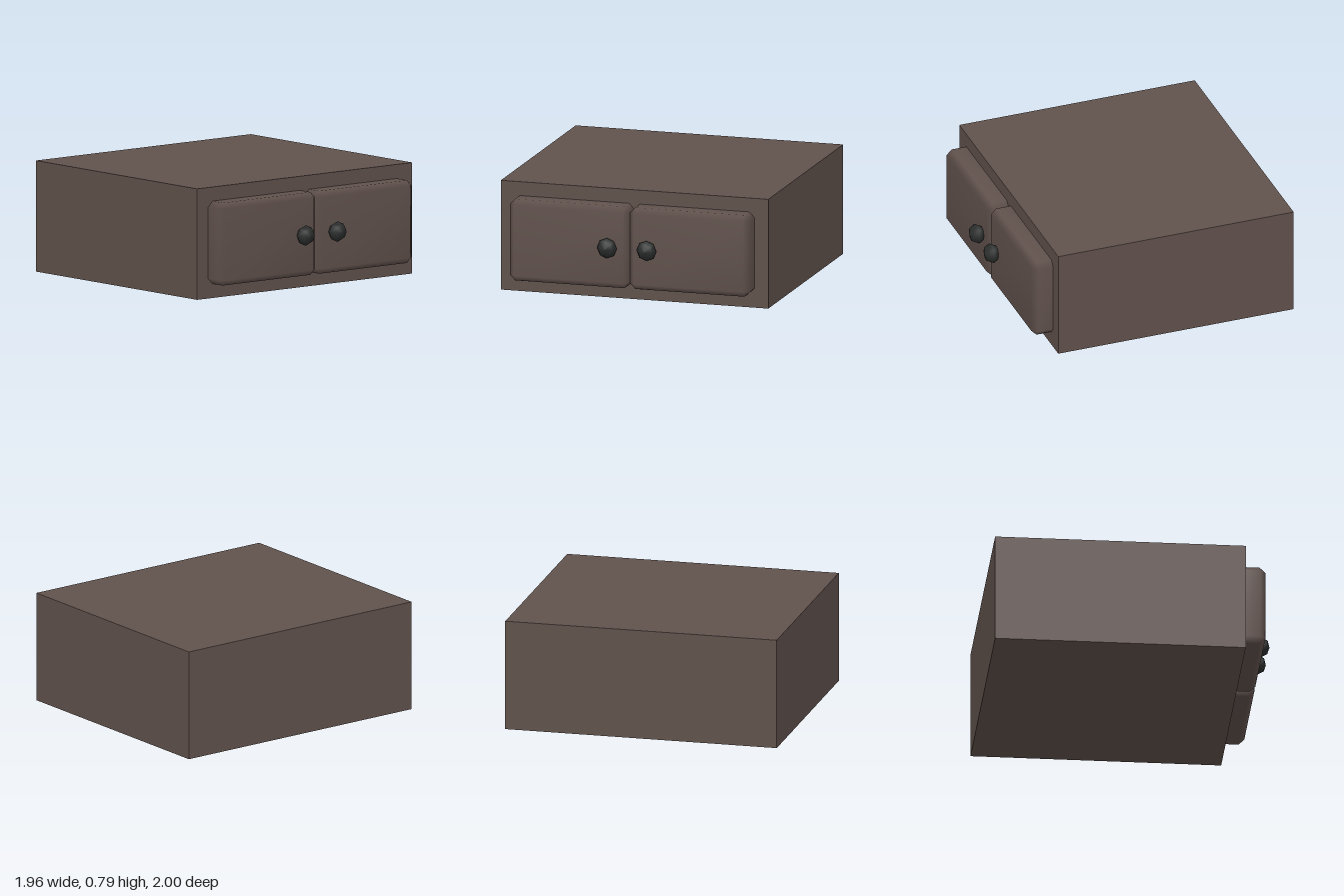
import * as THREE from 'three';
import { mergeVertices } from 'three/addons/utils/BufferGeometryUtils.js';
import { ConvexGeometry } from 'three/addons/geometries/ConvexGeometry.js';

// Box with every edge cut at 45 degrees and softly shaded
function chamferedBox(w, h, d, c) {
  const points = [];
  for (const x of [-1, 1]) for (const y of [-1, 1]) for (const z of [-1, 1]) {
    for (let face = 0; face < 3; face++) {
      const cut = [c, c, c];
      cut[face] = 0;
      points.push(new THREE.Vector3(
        x * (w / 2 - cut[0]), y * (h / 2 - cut[1]), z * (d / 2 - cut[2])));
    }
  }
  const flat = new ConvexGeometry(points);
  flat.deleteAttribute('normal');
  const geometry = mergeVertices(flat, 1e-4);
  geometry.computeVertexNormals();
  return geometry;
}

export function createModel() {
  const model = new THREE.Group();
  model.name = 'cabinet';
  const wood = new THREE.MeshStandardMaterial({ name: 'dark brown wood', color: 0x60514c });
  const black = new THREE.MeshStandardMaterial({ name: 'black knob', color: 0x2c2e2e });

  function add(name, geometry, material, x, y, z) {
    const mesh = new THREE.Mesh(geometry, material);
    mesh.name = name;
    mesh.position.set(x, y, z);
    model.add(mesh);
  }

  // Carcass
  add('body', new THREE.BoxGeometry(1.96, 0.785, 1.76), wood, 0, 0.3925, -0.12);

  // Doors and their faceted knobs, mirrored about the middle
  const door = chamferedBox(0.88, 0.585, 0.23, 0.04);
  const profile = [[0, -0.055], [0.05, -0.04], [0.073, 0], [0.05, 0.04], [0, 0.055]]
    .map(([r, y]) => new THREE.Vector2(r, y));
  const knob = new THREE.LatheGeometry(profile, 8);
  knob.rotateX(Math.PI / 2);
  for (const [side, s] of [['left', 1], ['right', -1]]) {
    add(side + 'Door', door, wood, s * 0.44, 0.393, 0.795);
    add(side + 'Knob', knob, black, s * 0.145, 0.397, 0.945);
  }
  return model;
}
